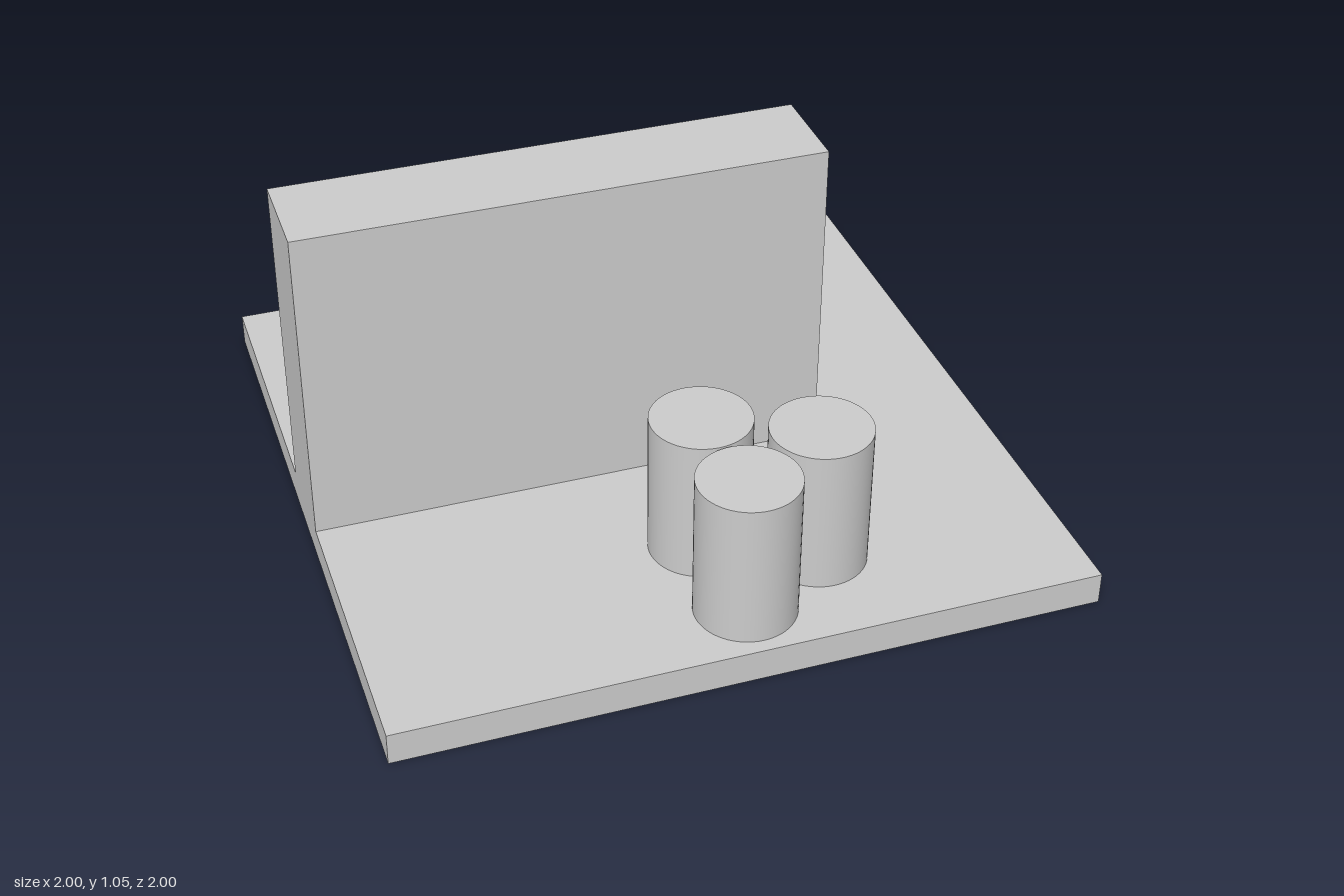
import * as THREE from 'three';

export function createModel() {
  const model = new THREE.Group();
  const grey = new THREE.MeshStandardMaterial({ color: 0xcccccc });
  const baseTop = 0.095;

  function add(name, geometry, x, y, z) {
    const mesh = new THREE.Mesh(geometry, grey);
    mesh.name = name;
    mesh.position.set(x, y, z);
    model.add(mesh);
  }

  // Square ground slab
  add('base', new THREE.BoxGeometry(2, baseTop, 2), 0, baseTop / 2, 0);

  // Thick wall, flush with the right edge of the slab
  const wallHeight = 1.047 - baseTop;
  add('wall', new THREE.BoxGeometry(1.5, wallHeight, 0.285), -0.25, baseTop + wallHeight / 2, 0);

  // Cluster of three upright cylinders in front of the wall
  const drumHeight = 0.528 - baseTop;
  const drum = new THREE.CylinderGeometry(0.143, 0.143, drumHeight, 64);
  [[0, 0.527], [0.029, 0.818], [0.291, 0.669]].forEach(([x, z], i) => {
    add(`cylinder${i + 1}`, drum, x, baseTop + drumHeight / 2, z);
  });

  return model;
}
